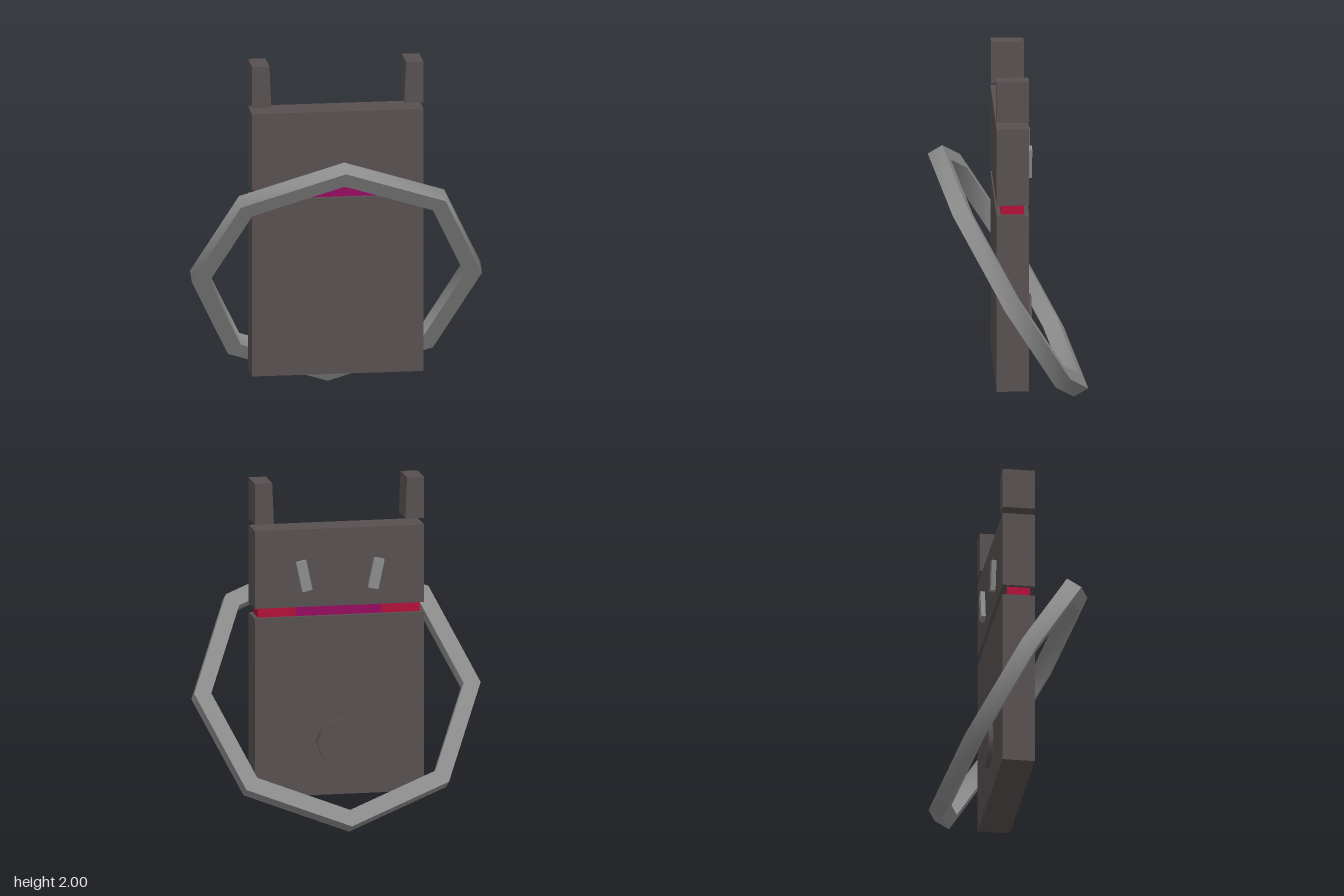
import * as THREE from 'three';
import { toCreasedNormals } from 'three/addons/utils/BufferGeometryUtils.js';

const mat = (name, color) => {
  const m = new THREE.MeshStandardMaterial({ color });
  m.name = name;
  return m;
};

export function createModel() {
  const model = new THREE.Group();
  const shell = mat('warm dark grey', 0x585050);
  const metal = mat('mid grey', 0x8c8c8c);
  const red = mat('crimson', 0xb01038);
  const purple = mat('magenta purple', 0x960c60);

  const add = (name, geometry, material, x = 0, y = 0, z = 0) => {
    const mesh = new THREE.Mesh(geometry, material);
    mesh.name = name;
    mesh.position.set(x, y, z);
    model.add(mesh);
    return mesh;
  };
  // Box given by its lower and upper corners
  const block = (name, material, [x0, y0, z0], [x1, y1, z1]) =>
    add(name, new THREE.BoxGeometry(x1 - x0, y1 - y0, z1 - z0), material,
      (x0 + x1) / 2, (y0 + y1) / 2, (z0 + z1) / 2);

  const half = 0.493, back = -0.104, front = 0.083;

  // Body and head slabs
  block('body', shell, [-half, 0.17, back], [half, 1.212, front]);
  block('head', shell, [-half, 1.27, back], [half, 1.722, front]);

  // Glowing neck: purple centre between red ends
  block('neckCentre', purple, [-0.25, 1.212, -0.075], [0.25, 1.27, 0.058]);
  for (const [side, s] of [['left', 1], ['right', -1]]) {
    const a = s * 0.25, b = s * 0.47;
    block(side + 'NeckEnd', red, [Math.min(a, b), 1.212, -0.075], [Math.max(a, b), 1.27, 0.058]);

    // Floating ears, slightly wider at the base
    const inner = s * 0.383, top = s * 0.393, outer = s * half;
    const ear = new THREE.Shape([
      new THREE.Vector2(inner, 1.76), new THREE.Vector2(outer, 1.76),
      new THREE.Vector2(outer, 2), new THREE.Vector2(top, 2),
    ]);
    add(side + 'Ear', new THREE.ExtrudeGeometry(ear, { depth: front - back, bevelEnabled: false }),
      shell, 0, 0, back);

    // Slanted eyes on the back of the head
    const eye = add(side + 'Eye', new THREE.BoxGeometry(0.06, 0.177, 0.028), metal,
      s * 0.21, 1.453, back - 0.012);
    eye.rotation.z = -s * THREE.MathUtils.degToRad(12);
  }

  // Octagonal button low on the body
  const button = add('button', new THREE.CylinderGeometry(0.138, 0.138, 0.03, 8), shell, 0, 0.48, back - 0.013);
  button.rotation.x = Math.PI / 2;

  // Tilted octagonal ring around the body
  const octagon = (r) => Array.from({ length: 8 }, (_, i) =>
    new THREE.Vector2(r * Math.cos(i * Math.PI / 4), r * Math.sin(i * Math.PI / 4)));
  const ringShape = new THREE.Shape(octagon(0.835));
  ringShape.holes.push(new THREE.Path(octagon(0.735)));
  const ringGeometry = new THREE.ExtrudeGeometry(ringShape, { depth: 0.096, bevelEnabled: false });
  ringGeometry.translate(0, 0, -0.048);
  const ring = add('ring', toCreasedNormals(ringGeometry, Math.PI / 3), metal, 0, 0.752, 0);
  ring.rotation.x = Math.PI / 6;

  return model;
}
